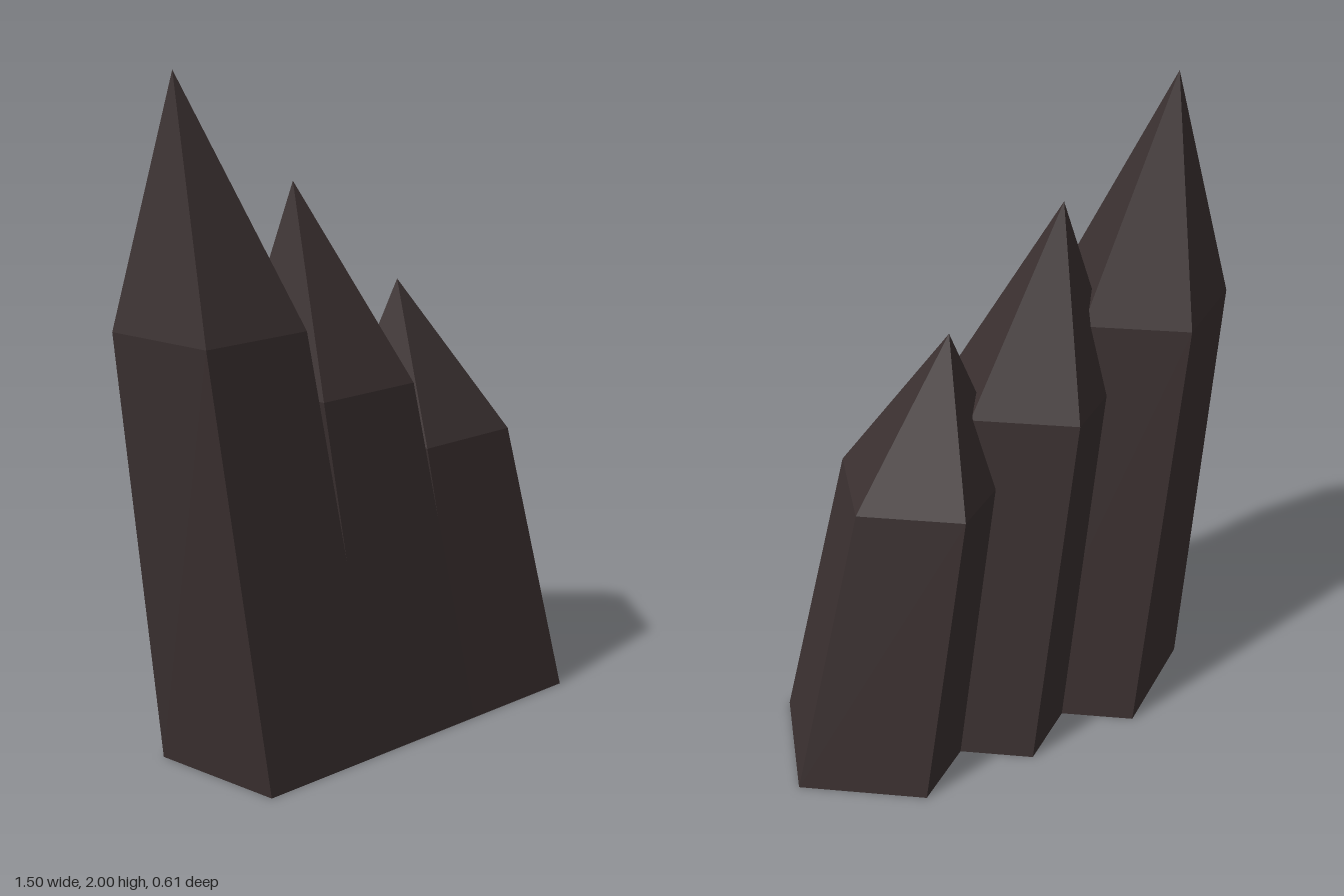
import * as THREE from 'three';

// Five-sided outlines [x, z] relative to each crystal: left, front left, front right, right, back
const FOOT = [[-0.32, -0.075], [-0.195, 0.305], [0.195, 0.305], [0.32, -0.075], [0, -0.305]];
const SHOULDER = [[-0.435, -0.055], [-0.335, 0.25], [-0.02, 0.25], [0.075, -0.055], [-0.18, -0.24]];
const TIP = [-0.275, 0.03];

// Leaning prism with a pointed cap
function crystalGeometry(shoulderY, tipY) {
  const foot = FOOT.map(([x, z]) => [x, 0, z]);
  const shoulder = SHOULDER.map(([x, z]) => [x, shoulderY, z]);
  const tip = [TIP[0], tipY, TIP[1]];
  const pos = [];
  const tri = (a, b, c) => pos.push(...a, ...b, ...c);
  for (let i = 0; i < 5; i++) {
    const j = (i + 1) % 5;
    // side
    tri(foot[i], foot[j], shoulder[j]);
    tri(foot[i], shoulder[j], shoulder[i]);
    // point
    tri(shoulder[i], shoulder[j], tip);
    // underside
    if (i > 0 && i < 4) tri(foot[0], foot[j], foot[i]);
  }
  const geo = new THREE.BufferGeometry();
  geo.setAttribute('position', new THREE.Float32BufferAttribute(pos, 3));
  geo.computeVertexNormals();
  return geo;
}

export function createModel() {
  const group = new THREE.Group();
  group.name = 'crystalCluster';
  const darkStone = new THREE.MeshStandardMaterial({ color: 0x3a3030 });
  darkStone.name = 'darkStone';
  darkStone.flatShading = true;

  // Three crystals stepping down toward the model's left
  const crystals = [
    ['tallCrystal', -0.315, 1.32, 2],
    ['middleCrystal', 0.055, 1.11, 1.68],
    ['shortCrystal', 0.425, 0.9, 1.355],
  ];
  for (const [name, x, shoulderY, tipY] of crystals) {
    const mesh = new THREE.Mesh(crystalGeometry(shoulderY, tipY), darkStone);
    mesh.name = name;
    mesh.position.x = x;
    group.add(mesh);
  }
  return group;
}
